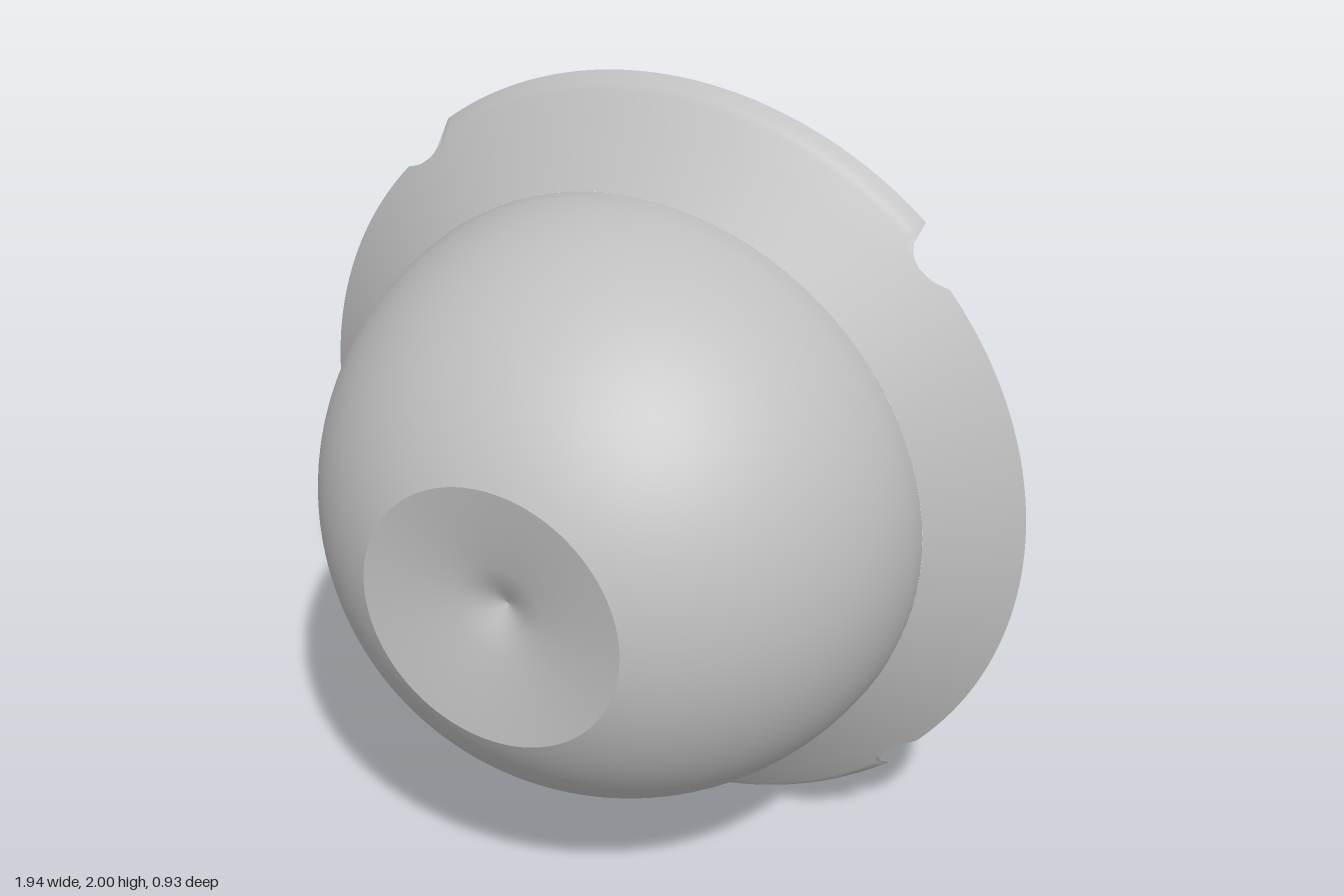
import * as THREE from 'three';

const INNER = 0.765; // radius where the flange meets the dome

// Piecewise-linear flange radius by angle (degrees from the x axis, one quadrant)
const RIM = [[0, 0.97], [41, 0.97], [42, 0.962], [43.5, 0.951], [46.5, 0.947], [48, 0.957], [49, 0.97], [50, 1.0], [90, 1.0]];

function rimRadius(deg) {
  let a = deg % 180;
  if (a > 90) a = 180 - a;
  const i = Math.max(1, RIM.findIndex((p) => p[0] >= a));
  const [a0, r0] = RIM[i - 1];
  const [a1, r1] = RIM[i];
  return r0 + (r1 - r0) * (a - a0) / (a1 - a0);
}

// Conical flange that curls backwards beyond radius 0.97
function flangeDepth(r) {
  const curl = Math.max(0, (r - 0.97) / 0.03);
  return -0.27 - 0.7 * (r - INNER) - 0.03 * curl * curl;
}

function flangeGeometry() {
  const rows = [0, 0.3, 0.6, 0.86, 0.91, 0.955, 1];
  const n = 360;
  const pos = [];
  const index = [];
  for (let i = 0; i < n; i++) {
    const outer = rimRadius(i);
    const t = THREE.MathUtils.degToRad(i);
    for (const u of rows) {
      const r = INNER + (outer - INNER) * u;
      pos.push(r * Math.cos(t), r * Math.sin(t), flangeDepth(r));
    }
  }
  const m = rows.length;
  for (let i = 0; i < n; i++) {
    const j = (i + 1) % n;
    for (let k = 0; k < m - 1; k++) {
      const a = i * m + k, b = j * m + k;
      index.push(a, a + 1, b, b, a + 1, b + 1);
    }
  }
  const g = new THREE.BufferGeometry();
  g.setAttribute('position', new THREE.Float32BufferAttribute(pos, 3));
  g.setIndex(index);
  g.computeVertexNormals();
  return g;
}

// Lathe around the z axis from [radius, z] points
function latheZ(points) {
  return new THREE.LatheGeometry(points.map(([r, z]) => new THREE.Vector2(r, z)), 96).rotateX(Math.PI / 2);
}

export function createModel() {
  const group = new THREE.Group();
  const grey = new THREE.MeshStandardMaterial({ color: 0xc0c0c0, side: THREE.DoubleSide });
  grey.name = 'light grey';
  const add = (name, geometry) => {
    const mesh = new THREE.Mesh(geometry, grey);
    mesh.name = name;
    group.add(mesh);
  };

  // Dome: hollow spherical shell, cut off at the front
  const dome = [[INNER, -0.27]];
  const end = Math.acos(0.34 / 0.77);
  for (let i = 0; i <= 28; i++) {
    const a = end * i / 28;
    dome.push([0.77 * Math.cos(a), -0.23 + 0.77 * Math.sin(a)]);
  }
  add('dome', latheZ(dome));

  // Shallow dish pressed into the front, with a small pinch in the middle
  add('frontDimple', latheZ([[0.34, 0.461], [0.28, 0.453], [0.2, 0.44], [0.12, 0.425], [0.07, 0.41], [0.03, 0.388], [0, 0.375]]));

  // Flared flange with four notches; taller top and bottom lips
  add('flange', flangeGeometry());

  group.position.y = 1;
  const model = new THREE.Group();
  model.name = 'flangedBowl';
  group.name = 'bowl';
  model.add(group);
  return model;
}
